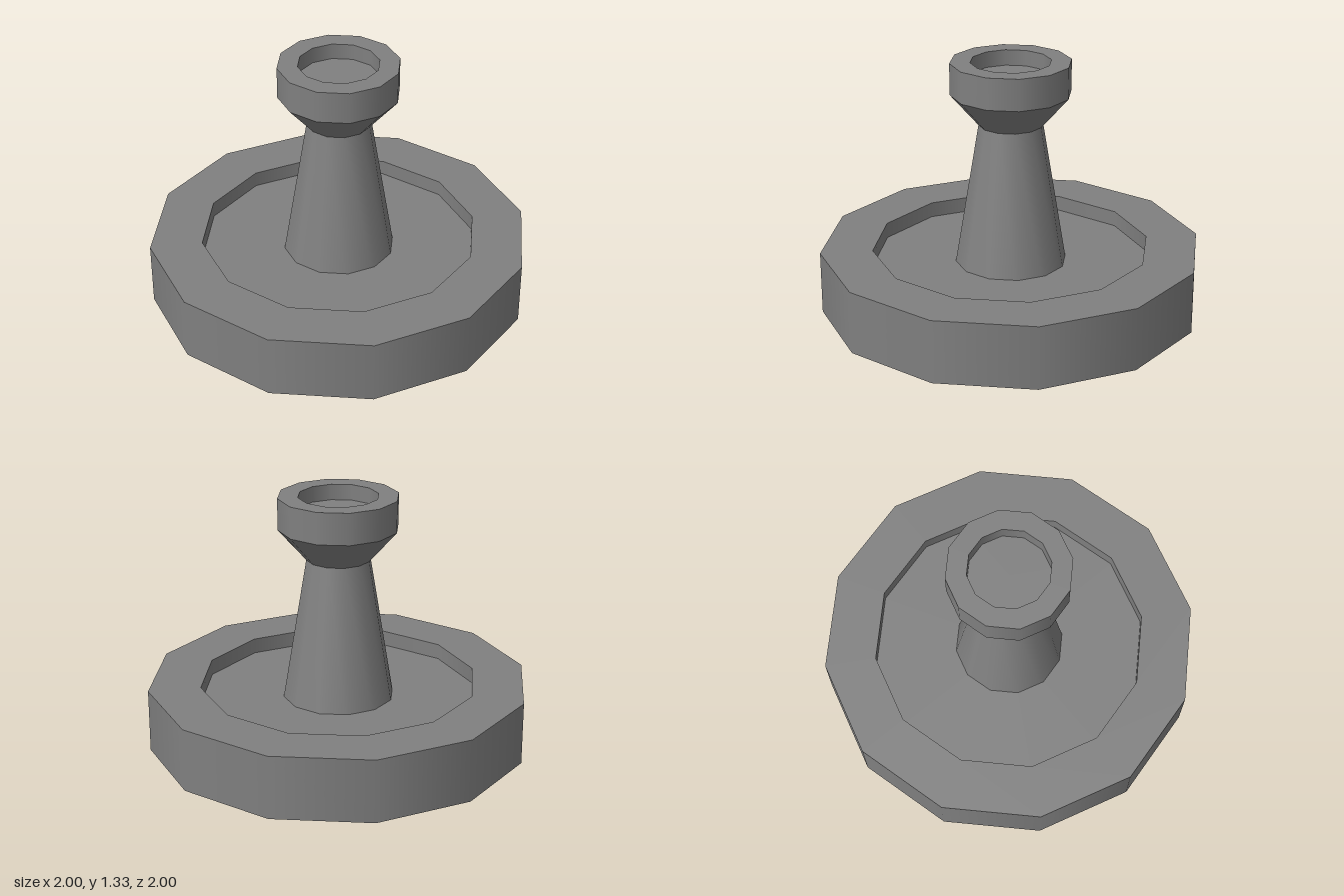
import * as THREE from 'three';
import { mergeGeometries } from 'three/addons/utils/BufferGeometryUtils.js';

const SIDES = 12;

// Turned part: smooth around the axis, a sharp edge at every profile point
function turned(name, profile, side = THREE.FrontSide) {
  const bands = [];
  for (let i = 0; i < profile.length - 1; i++) {
    const pair = [profile[i], profile[i + 1]].map(([r, y]) => new THREE.Vector2(r, y));
    const band = new THREE.LatheGeometry(pair, SIDES);
    band.normalizeNormals();
    bands.push(band);
  }
  const material = new THREE.MeshStandardMaterial({ color: 0x808080, side });
  const mesh = new THREE.Mesh(mergeGeometries(bands), material);
  mesh.name = name;
  return mesh;
}

export function createModel() {
  const group = new THREE.Group();
  group.name = 'pedestal';

  // Hollow rim, open underneath, with the lip of the recess
  group.add(turned('baseRim', [[1, 0], [1, 0.333], [0.727, 0.333], [0.727, 0.25]], THREE.DoubleSide));

  // Thick floor plate hanging inside the rim, slightly wider at its top
  group.add(turned('basePlate', [[0, 0.083], [0.727, 0.083], [0.77, 0.25], [0, 0.25]]));

  // Tapered column running through the plate to the ground
  group.add(turned('column', [[0, 0], [0.333, 0], [0.167, 1], [0, 1]]));

  // Flared cup with a shallow round recess on top
  group.add(turned('cup', [
    [0, 1], [0.167, 1], [0.3125, 1.167], [0.3125, 1.333],
    [0.208, 1.333], [0.208, 1.25], [0, 1.25],
  ]));

  return group;
}
